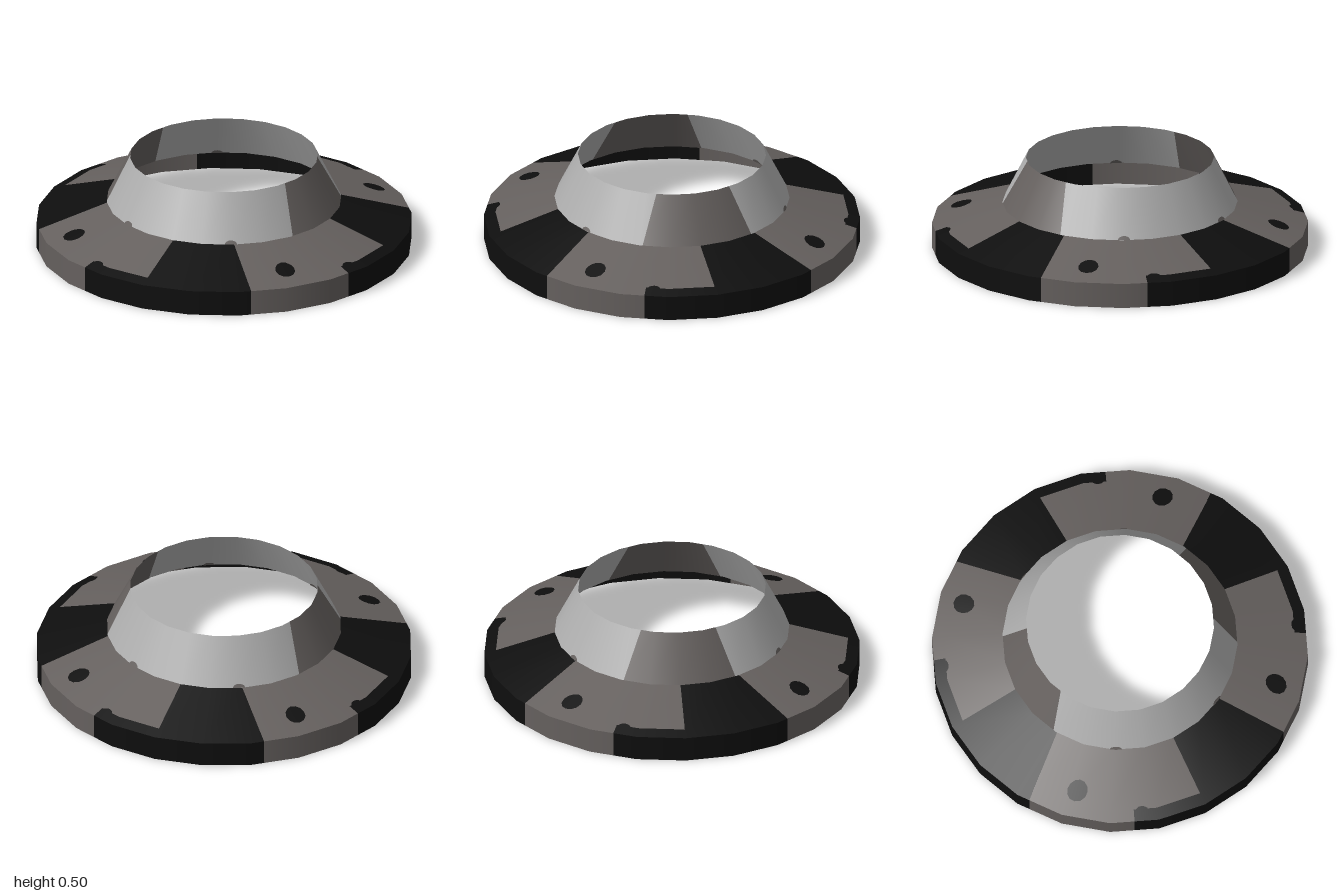
import * as THREE from 'three';

const mat = (name, color) => {
  const m = new THREE.MeshStandardMaterial({ color, side: THREE.DoubleSide });
  m.name = name;
  return m;
};

const STEP = 15; // 24-sided ring
const rad = THREE.MathUtils.degToRad;

// Bands of the profile: lower radius, lower height, upper radius, upper height
const WALL = [1, 0, 1, 0.135];
const CONE = [1, 0.135, 0.625, 0.25];
const COLLAR = [0.625, 0.25, 0.5, 0.5];

// Point on a flat-sided band; t runs from the lower edge (0) to the upper edge (1)
function pointOn([r0, y0, r1, y1], deg, t) {
  const local = ((deg % STEP) + STEP) % STEP - STEP / 2;
  const r = (r0 + (r1 - r0) * t) * Math.cos(rad(STEP / 2)) / Math.cos(rad(local));
  return new THREE.Vector3(r * Math.cos(rad(deg)), y0 + (y1 - y0) * t, -r * Math.sin(rad(deg)));
}

function normalOn([r0, y0, r1, y1], deg) {
  const h = y1 - y0;
  return new THREE.Vector3(h * Math.cos(rad(deg)), r0 - r1, -h * Math.sin(rad(deg))).normalize();
}

function build(points, normals, index) {
  const g = new THREE.BufferGeometry();
  g.setAttribute('position', new THREE.Float32BufferAttribute(points.flatMap(p => p.toArray()), 3));
  g.setAttribute('normal', new THREE.Float32BufferAttribute(normals.flatMap(n => n.toArray()), 3));
  g.setIndex(index);
  return g;
}

// Sector of a band between two (possibly slanted) side edges
function sector(band, lower, upper, t0 = 0, t1 = 1) {
  const angles = ([a, b]) => {
    const list = [a];
    for (let d = Math.floor(a / STEP) * STEP + STEP; d < b - 1e-6; d += STEP) list.push(d);
    return [...list, b];
  };
  const lo = angles(lower), up = angles(upper);
  const points = [], normals = [], index = [];
  lo.forEach((a, i) => {
    points.push(pointOn(band, a, t0), pointOn(band, up[i], t1));
    normals.push(normalOn(band, a), normalOn(band, up[i]));
    if (i) {
      const k = 2 * i - 2;
      index.push(k, k + 2, k + 3, k, k + 3, k + 1);
    }
  });
  return build(points, normals, index);
}

// Small painted spot lying on a band, offset to one side of the sheet
function spot(band, deg, t, w, h, side, arc = 360) {
  const [r0, y0, r1, y1] = band;
  const len = Math.hypot(r1 - r0, y1 - y0), r = r0 + (r1 - r0) * t;
  const n = 12, points = [], normals = [], index = [];
  const add = (d, tt) => {
    const normal = normalOn(band, d);
    points.push(pointOn(band, d, tt).addScaledVector(normal, 0.003 * side));
    normals.push(normal);
  };
  add(deg, t);
  for (let i = 0; i <= n; i++) {
    const a = rad(arc * i / n);
    add(deg + THREE.MathUtils.radToDeg(w * Math.cos(a) / r), t + h * Math.sin(a) / len);
    if (i) index.push(0, i, i + 1);
  }
  return build(points, normals, index);
}

export function createModel() {
  const group = new THREE.Group();
  group.name = 'flangedRing';
  const black = mat('black', 0x0e0e0e);
  const grey = mat('warmGrey', 0x65605e);
  const light = mat('lightGrey', 0xadadad);
  const add = (name, geometry, material) => {
    const mesh = new THREE.Mesh(geometry, material);
    mesh.name = name;
    group.add(mesh);
  };

  // Four repeats of the painted base
  const T = 0.165; // inner border of the dark edge strip
  for (let k = 0; k < 4; k++) {
    const s = k * 90;
    const r = (a, b) => [s + a, s + b];
    add('rimWallDark', sector(WALL, r(-22.5, 34), r(-22.5, 34)), black);
    add('rimWallGrey', sector(WALL, r(34, 67.5), r(34, 67.5)), grey);
    add('slopeDark', sector(CONE, r(0, 34), r(0, 30.6)), black);
    add('slopeGrey', sector(CONE, r(33.5, 90), r(30.6, 90), T, 1), grey);
    add('slopeEdgeGrey', sector(CONE, r(34, 67.5), r(33.5, 67.5), 0, T), grey);
    add('slopeEdgeDark', sector(CONE, r(67.5, 90), r(67.5, 90), 0, T), black);
    for (const side of [1, -1]) {
      add('boltSpot', spot(CONE, s + 47.8, 0.365, 0.054, 0.06, side), black);
      add('edgeNotch', spot(CONE, s + 70.2, 0.14, 0.035, 0.025, side), black);
    }
  }

  // Tapered collar with a darker panel on each side
  for (const s of [0, 180]) {
    add('collarSidePanel', sector(COLLAR, [s - 28.5, s + 28.5], [s - 23.6, s + 23.6]), grey);
    add('collarPanel', sector(COLLAR, [s + 28.5, s + 151.5], [s + 23.6, s + 156.4]), light);
    for (const d of [61, 119])
      for (const side of [1, -1])
        add('collarSpot', spot(COLLAR, s + d, 0, 0.032, 0.022, side, 180), grey);
  }
  return group;
}
